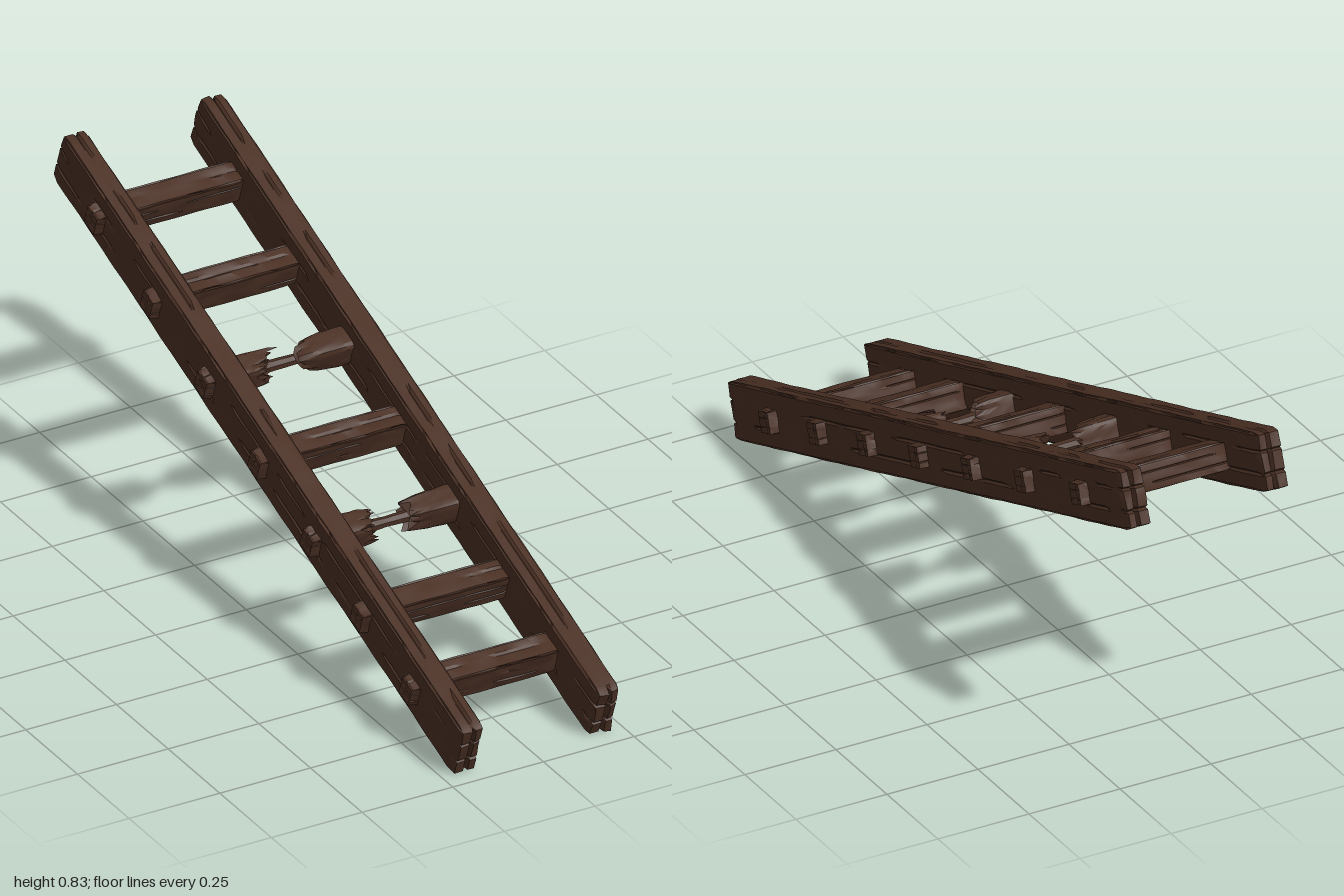
import * as THREE from 'three';
import { toCreasedNormals } from 'three/addons/utils/BufferGeometryUtils.js';

const wood = new THREE.MeshStandardMaterial({ color: 0x4a3024 });
wood.name = 'dark weathered wood';

// Smooth repeatable wobble in the range -1..1
const wobble = (t, seed) =>
  (Math.sin(t * 9 + seed * 1.7) + Math.sin(t * 23 + seed * 3.1) + Math.sin(t * 51 + seed * 5.3)) / 3;

// Cross-section grid lines; the close triples carry the carved cracks
const WIDE = [-1, -0.9, -0.45, -0.38, -0.31, 0.1, 0.3, 0.36, 0.42, 0.9, 1];
const NARROW = [-1, -0.8, -0.08, 0.1, 0.28, 0.8, 1];
const CRACKS_WIDE = [-0.38, 0.36];
const CRACK_NARROW = 0.1;

// Rough timber running along y: chipped edges, cracks and split ends
function timber(width, length, depth, steps, seed, { chip = 0.01, crack = 0.006, split = 0.012 } = {}) {
  const nx = NARROW.length - 1, nz = WIDE.length - 1;
  const geo = new THREE.BoxGeometry(nx, length, nz, nx, steps, nz);
  const p = geo.attributes.position;
  for (let i = 0; i < p.count; i++) {
    const fx = NARROW[Math.round(p.getX(i) + nx / 2)];
    const fz = WIDE[Math.round(p.getZ(i) + nz / 2)];
    const y = p.getY(i), end = Math.abs(y) > length / 2 - 1e-4;
    const onX = Math.abs(fx) === 1, onZ = Math.abs(fz) === 1;
    let inX = 0, inZ = 0, ny = y;
    const side = seed + Math.sign(fx) * 2 + Math.sign(fz) * 5;
    if (onX && onZ) {
      const bite = 0.004 + chip * Math.max(0, wobble(y * 1.4, side) - 0.35) * 2;
      inX += bite;
      inZ += bite;
    } else if (onX || onZ) {
      // Cracks come and go along the grain
      const open = Math.max(0, Math.min(1, wobble(y * 0.5, side + fz * 7) * 4 + 0.2));
      if (onX && CRACKS_WIDE.includes(fz)) inX += crack * open;
      if (onZ && fx === CRACK_NARROW) inZ += crack * open;
    }
    if (onX) inX += 0.0015 * (1 + wobble(y, seed + fz * 2 + fx));
    if (onZ) inZ += 0.0015 * (1 + wobble(y, seed + fx * 2 + fz * 3));
    if (end) {
      const s = Math.sign(y);
      let dip = split * 0.35 * (1 + wobble(fx * 0.2 + fz * 0.1, seed + s * 4));
      if (fx === CRACK_NARROW) dip += split;
      if (CRACKS_WIDE.includes(fz)) dip += split * 0.6;
      if (onX || onZ) dip += 0.006;
      ny -= s * dip;
      if (onX) inX += 0.004;
      if (onZ) inZ += 0.004;
    }
    p.setXYZ(i, fx * width / 2 - Math.sign(fx) * inX, ny, fz * depth / 2 - Math.sign(fz) * inZ);
  }
  return toCreasedNormals(geo, 0.5);
}

// Splintered stub from a rail; ends[row][col] gives the break position,
// rows from low to high y and columns from back to front
function stub(side, ends, seed) {
  const n = 6, size = 0.072, root = side * 0.165;
  const geo = new THREE.BoxGeometry(1, size, size, 6, n, n);
  const p = geo.attributes.position;
  const sample = (a, b) => {
    const i = Math.min(1, Math.floor(a * 2)), j = Math.min(1, Math.floor(b * 2));
    const u = a * 2 - i, v = b * 2 - j, L = THREE.MathUtils.lerp;
    return L(L(ends[i][j], ends[i][j + 1], v), L(ends[i + 1][j], ends[i + 1][j + 1], v), u);
  };
  for (let i = 0; i < p.count; i++) {
    const y = p.getY(i), z = p.getZ(i);
    const a = y / size + 0.5, b = z / size + 0.5;
    const t = side > 0 ? 0.5 - p.getX(i) : p.getX(i) + 0.5;
    const jag = 0.014 * Math.sin(Math.round(a * n) * 2.4 + Math.round(b * n) * 3.7 + seed);
    const tip = sample(a, b) + side * jag;
    const edge = Math.abs(y) > size * 0.49 && Math.abs(z) > size * 0.49;
    const k = (edge ? 0.91 : 1) - 0.16 * t ** 4 + 0.04 * wobble(t * 0.3 + a + b, seed);
    p.setXYZ(i, root + (tip - root) * t, y * k, z * k);
  }
  return toCreasedNormals(geo, 0.45);
}

// Thin heartwood left bridging a broken rung
function core(seed) {
  const geo = new THREE.CylinderGeometry(0.015, 0.015, 0.2, 7, 10);
  const p = geo.attributes.position;
  for (let i = 0; i < p.count; i++) {
    const y = p.getY(i);
    const k = 0.95 + 6 * Math.abs(y) ** 1.5 + 0.12 * wobble(y * 2, seed);
    p.setXYZ(i, p.getX(i) * k, y, p.getZ(i) * k);
  }
  geo.rotateZ(Math.PI / 2);
  return toCreasedNormals(geo, 0.6);
}

export function createModel() {
  const model = new THREE.Group();
  model.name = 'brokenLadder';
  const ladder = new THREE.Group();
  ladder.name = 'leaningLadder';
  const add = (geo, name, x = 0, y = 0, z = 0, parent = ladder) => {
    const mesh = new THREE.Mesh(geo, wood);
    mesh.name = name;
    mesh.position.set(x, y, z);
    parent.add(mesh);
    return mesh;
  };

  // Side rails
  add(timber(0.067, 2.068, 0.152, 70, 3, { split: 0.02 }), 'leftRail', 0.188);
  add(timber(0.067, 2.068, 0.152, 70, 11, { split: 0.013 }), 'rightRail', -0.188);

  // Break outlines for the two snapped rungs, keyed by rung index
  const breaks = {
    4: {
      right: [[-0.065, -0.08, -0.09], [-0.05, -0.06, -0.075], [-0.035, -0.06, -0.035]],
      left: [[0.06, 0.03, 0.01], [0.05, 0.03, 0.02], [0.07, 0.05, 0.05]],
    },
    2: {
      right: [[-0.06, -0.075, -0.09], [-0.06, -0.07, -0.075], [-0.04, -0.065, -0.06]],
      left: [[0.025, 0.045, 0.035], [0.03, 0.05, 0.04], [0.045, 0.03, 0.025]],
    },
  };

  // Rungs, from the foot to the top
  [-0.805, -0.553, -0.295, -0.025, 0.25, 0.527, 0.815].forEach((y, i) => {
    const rung = new THREE.Group();
    rung.name = 'rung' + (i + 1);
    rung.position.y = y;
    ladder.add(rung);

    if (breaks[i]) {
      add(stub(1, breaks[i].left, i), 'leftSplinteredStub', 0, 0, 0, rung);
      add(stub(-1, breaks[i].right, i + 2), 'rightSplinteredStub', 0, 0, 0, rung);
      add(core(i), 'rungCore', -0.02, 0.004, -0.008, rung);
    } else {
      const beam = timber(0.074, 0.33, 0.074, 18, i * 5 + 2, { chip: 0.012, crack: 0.004, split: 0 });
      add(beam.rotateZ(Math.PI / 2), 'rungBeam', 0, 0, 0, rung);
    }

    // Tenon ends showing outside the rails
    for (const s of [-1, 1]) {
      const peg = timber(0.06, 0.09, 0.06, 4, i * 3 + s, { chip: 0.004, crack: 0.002, split: 0.002 });
      add(peg.rotateZ(Math.PI / 2), s > 0 ? 'leftTenon' : 'rightTenon', s * 0.199, 0, 0, rung);
    }
  });

  // Lean the ladder back
  ladder.rotation.x = -THREE.MathUtils.degToRad(70.1);
  ladder.position.y = 0.422;
  model.add(ladder);
  return model;
}
